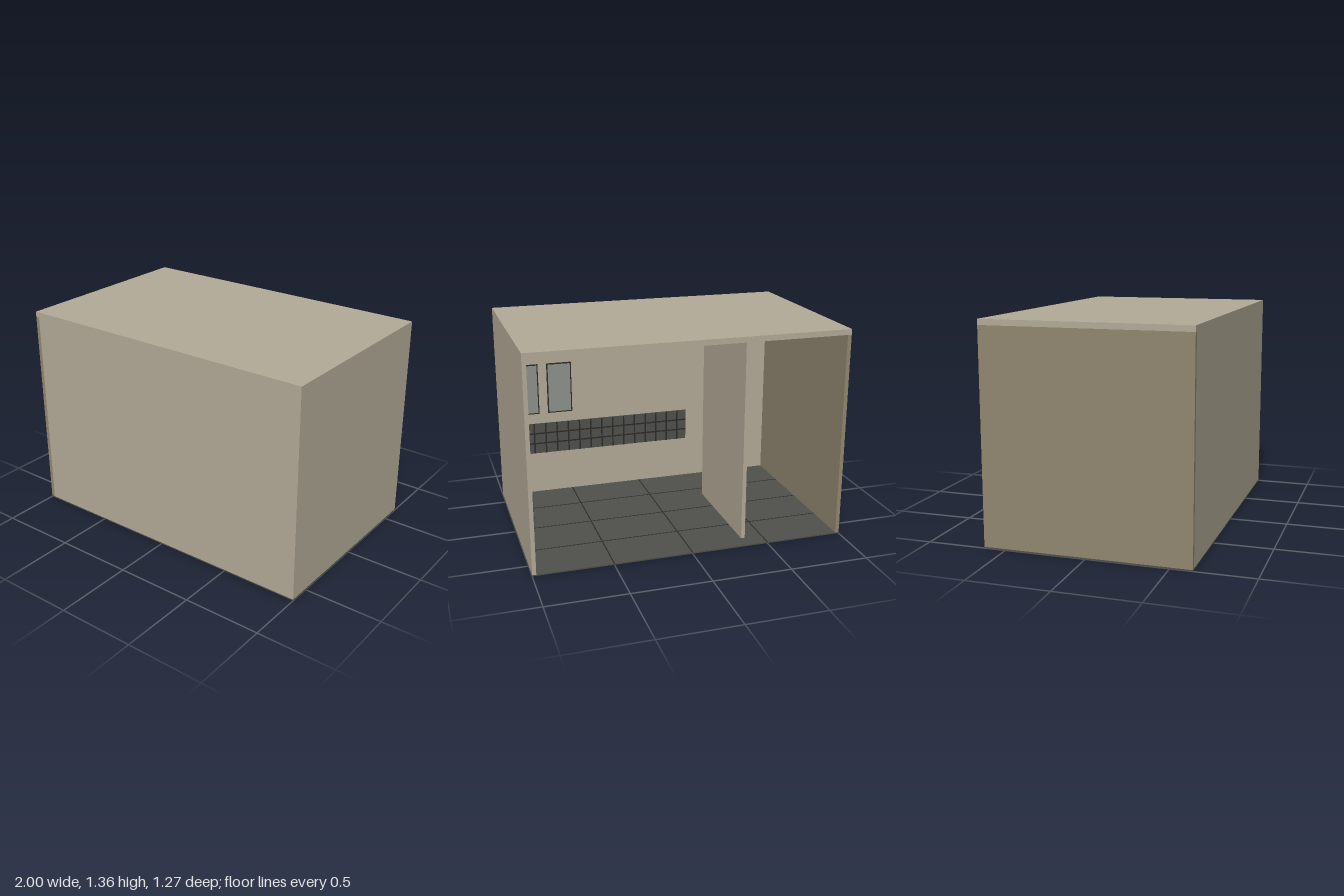
import * as THREE from 'three';

const mat = (name, color) => {
  const m = new THREE.MeshStandardMaterial({ color });
  m.name = name;
  return m;
};

export function createModel() {
  const room = new THREE.Group();
  room.name = 'room';
  const plaster = mat('beige plaster', 0xb3aa97);
  const brown = mat('brown plaster', 0x91866f);
  const tile = mat('grey tile', 0x50514c);
  const grout = mat('dark grout', 0x2b2c29);
  const glass = mat('mirror glass', 0x8f918c);

  // box given by its minimum and maximum corners
  const block = (name, m, x0, x1, y0, y1, z0, z1) => {
    const mesh = new THREE.Mesh(new THREE.BoxGeometry(x1 - x0, y1 - y0, z1 - z0), m);
    mesh.position.set((x0 + x1) / 2, (y0 + y1) / 2, (z0 + z1) / 2);
    mesh.name = name;
    room.add(mesh);
    return mesh;
  };

  const D = 0.635, T = 0.025, F = 0.008, C = 1.32, IN = 1 - T, IZ = D - T;

  // shell, open at the back
  block('floor', tile, -1, 1, 0, F, -D, D);
  block('ceiling', plaster, -1, 1, C, 1.355, -D, D);
  block('frontWall', plaster, -IN, 1, F, C, IZ, D);
  block('leftWall', plaster, IN, 1, F, C, -D, IZ);
  block('rightWall', brown, -1, -IN, F, C, -D, D);
  block('partition', plaster, -0.385, -0.36, F, C, -0.535, 0.22);

  // floor joints
  for (const i of [-1, 0, 1]) {
    const x = i * 0.5, z = i * D / 2;
    block('floorJoint', grout, x - 0.004, x + 0.004, F, F + 0.001, -D, IZ);
    block('floorJoint', grout, -IN, IN, F, F + 0.001, z - 0.004, z + 0.004);
  }

  // tiled band along the left and front walls
  const B0 = 0.3, B1 = 0.52, P = 0.005;
  block('sideTileBand', tile, IN - P, IN, B0, B1, -D, IZ);
  block('frontTileBand', tile, -0.36, IN - P, B0, B1, IZ - P, IZ);
  for (const k of [1, 2]) {
    const y = B0 + k * (B1 - B0) / 3;
    block('sideBandJoint', grout, IN - P - 0.002, IN - P, y - 0.005, y + 0.005, -D, IZ - P);
    block('frontBandJoint', grout, -0.36, IN - P, y - 0.005, y + 0.005, IZ - P - 0.002, IZ - P);
  }
  for (const z of [0.38, 0.455, 0.525])
    block('sideBandJoint', grout, IN - P - 0.002, IN - P, B0, B1, z - 0.005, z + 0.005);
  for (let x = 0.84; x > -0.35; x -= 0.081)
    block('frontBandJoint', grout, x - 0.005, x + 0.005, B0, B1, IZ - P - 0.002, IZ - P);

  // pair of framed mirrors on the front wall
  for (const x of [0.803, 0.57]) {
    block('mirrorFrame', grout, x - 0.086, x + 0.086, 0.593, 0.95, IZ - 0.008, IZ);
    block('mirror', glass, x - 0.078, x + 0.078, 0.601, 0.942, IZ - 0.01, IZ - 0.008);
  }

  // twin ceiling lamps
  const lampGeo = new THREE.CylinderGeometry(0.014, 0.014, 0.012, 16);
  for (const z of [-0.345, 0.095, 0.535])
    for (const s of [-1, 1]) {
      const lamp = new THREE.Mesh(lampGeo, grout);
      lamp.position.set(0.022 + s * 0.014, C - 0.006, z);
      lamp.name = 'ceilingLamp';
      room.add(lamp);
    }

  return room;
}
